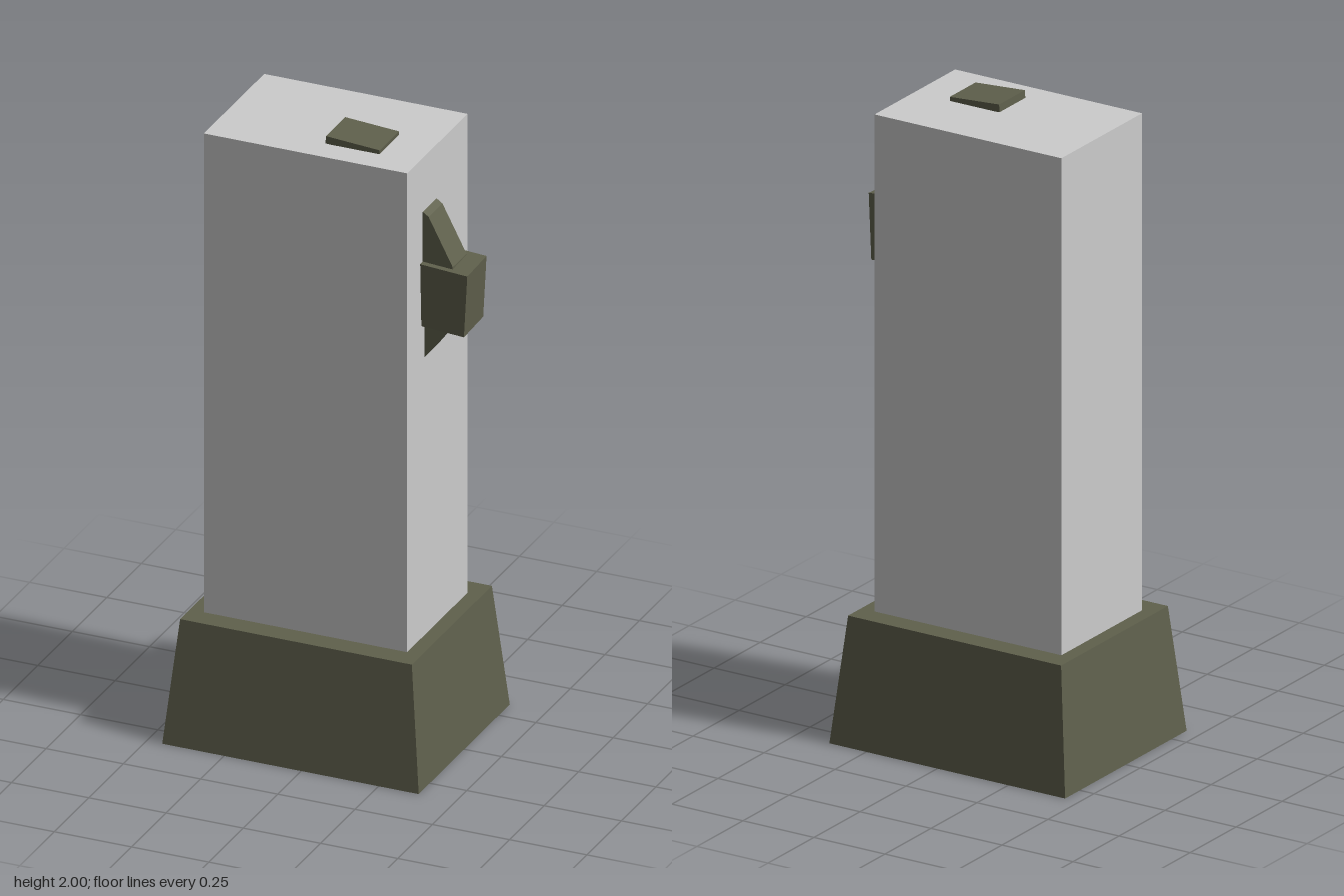
import * as THREE from 'three';

export function createModel() {
  const model = new THREE.Group();
  const grey = new THREE.MeshStandardMaterial({ color: 0xcccccc });
  grey.name = 'light grey';
  const olive = new THREE.MeshStandardMaterial({ color: 0x5f604c, side: THREE.DoubleSide });
  olive.name = 'olive';

  const add = (name, geometry, material, x, y, z) => {
    const mesh = new THREE.Mesh(geometry, material);
    mesh.name = name;
    mesh.position.set(x, y, z);
    model.add(mesh);
    return mesh;
  };

  // Hollow tapered foot, open underneath
  const foot = new THREE.BoxGeometry(0.83, 0.4, 0.66);
  const p = foot.attributes.position;
  for (let i = 0; i < p.count; i++) {
    if (p.getY(i) > 0) p.setXYZ(i, Math.sign(p.getX(i)) * 0.375, 0.2, Math.sign(p.getZ(i)) * 0.29);
  }
  const sides = Array.from(foot.index.array);
  sides.splice(18, 6); // leave out the bottom face
  foot.setIndex(sides);
  foot.clearGroups();
  foot.computeVertexNormals();
  add('foot', foot, olive, -0.035, 0.2, 0);

  // Tall column, sunk into the foot
  add('column', new THREE.BoxGeometry(0.658, 1.725, 0.438), grey, -0.036, 1.1125, 0);

  // Slightly tilted plate on the column top
  const plate = add('topPlate', new THREE.BoxGeometry(0.174, 0.024, 0.14), olive, 0.079, 1.982, 0.065);
  plate.rotation.z = -0.07;

  // Grip block on the side
  const grip = add('gripBlock', new THREE.BoxGeometry(0.18, 0.207, 0.14), olive, 0.348, 1.529, 0.05);
  grip.rotation.set(0.04, 0, -0.07);

  // Slanted brackets joining the grip to the column
  const bracket = (name, points, z) => {
    const shape = new THREE.Shape(points.map(([x, y]) => new THREE.Vector2(x, y)));
    const geometry = new THREE.ExtrudeGeometry(shape, { depth: 0.1, bevelEnabled: false });
    add(name, geometry, olive, 0, 0, z);
  };
  bracket('upperBracket', [[0.27, 1.6], [0.39, 1.6], [0.39, 1.635], [0.312, 1.785], [0.29, 1.8], [0.27, 1.81]], 0.006);
  bracket('lowerBracket', [[0.27, 1.285], [0.29, 1.31], [0.375, 1.425], [0.375, 1.46], [0.27, 1.46]], -0.006);

  return model;
}
